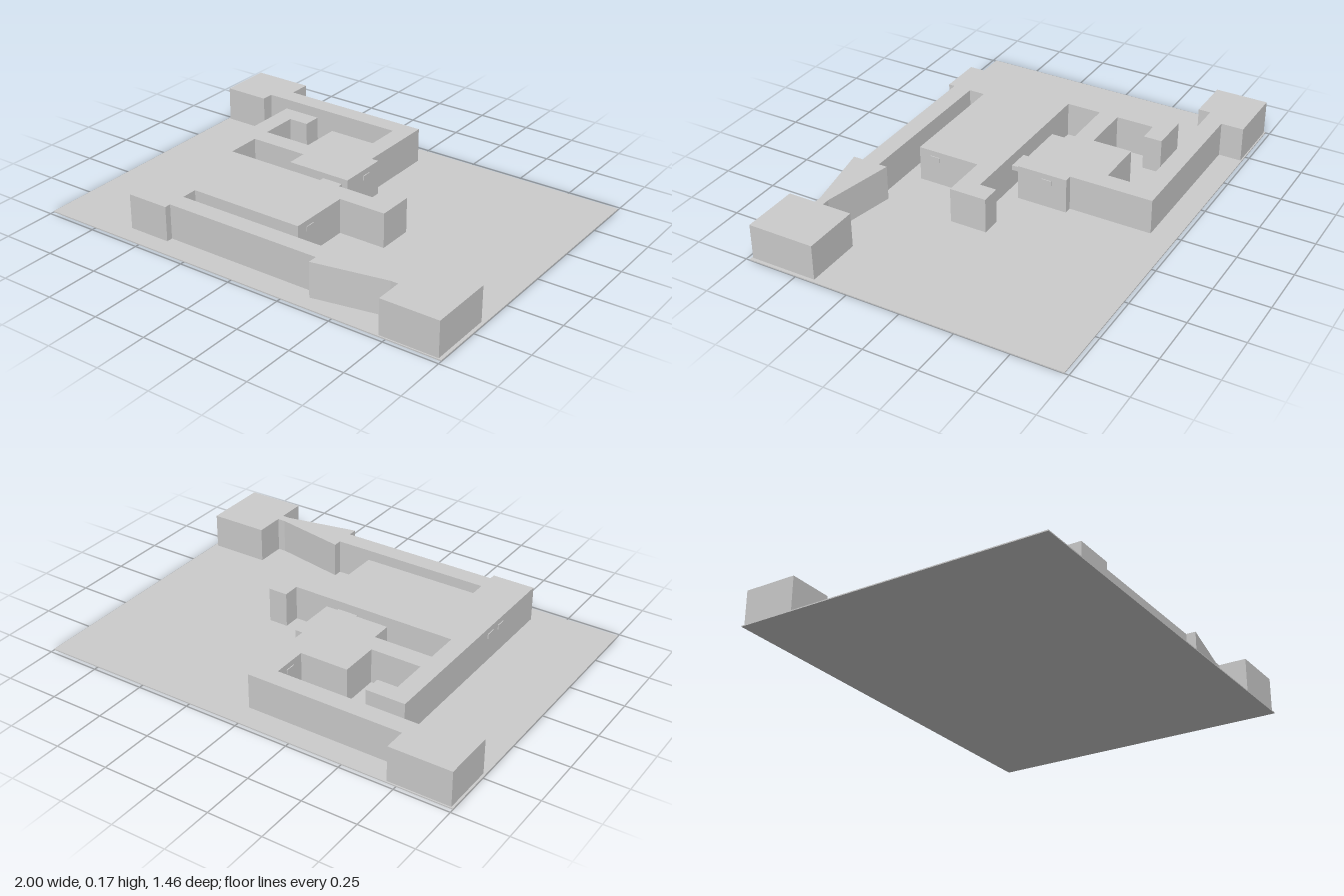
import * as THREE from 'three';

export function createModel() {
  const group = new THREE.Group();
  const material = new THREE.MeshStandardMaterial({ color: 0xcccccc, flatShading: true });

  const addBox = (name, size, position) => {
    const mesh = new THREE.Mesh(new THREE.BoxGeometry(...size), material);
    mesh.position.set(...position);
    mesh.name = name;
    group.add(mesh);
  };

  // Thin ground plate
  addBox('groundPlate', [2, 0.005, 1.462], [0, 0.0025, 0]);

  // Floor plan of the connected blocks and corridors, as [x, z]
  const plan = [
    // rear corner block and rear corridor
    [-0.99, -0.725], [-0.705, -0.725], [-0.705, -0.62], [0.025, -0.62],
    [0.025, -0.235], [0.06, -0.235], [0.06, 0.002],
    // middle passage
    [-0.25, 0.002], [-0.25, -0.095], [-0.527, -0.095], [-0.527, 0.067],
    // side wing and main hall
    [0.267, 0.067], [0.267, -0.012], [0.358, -0.012], [0.358, 0.16],
    [0.134, 0.16], [0.134, 0.455],
    // front corridor, flared link and front corner block
    [-0.415, 0.455], [-0.415, 0.53], [0.342, 0.53], [0.342, 0.49],
    [0.68, 0.555], [0.716, 0.555], [0.716, 0.417], [0.985, 0.417],
    [0.985, 0.725], [0.716, 0.725], [0.716, 0.595], [0.68, 0.595],
    [0.342, 0.66], [0.342, 0.615], [-0.415, 0.615], [-0.415, 0.645],
    // long outer wall and courtyard
    [-0.615, 0.645], [-0.615, -0.45], [-0.432, -0.45], [-0.432, -0.363],
    [-0.527, -0.363], [-0.527, -0.185], [-0.29, -0.185], [-0.29, -0.37],
    [-0.063, -0.37], [-0.063, -0.535], [-0.775, -0.535], [-0.775, -0.478],
    [-0.99, -0.478],
  ];
  const shape = new THREE.Shape(plan.map(([x, z]) => new THREE.Vector2(x, -z)));
  const geometry = new THREE.ExtrudeGeometry(shape, { depth: 0.165, bevelEnabled: false });
  geometry.rotateX(-Math.PI / 2);
  const building = new THREE.Mesh(geometry, material);
  building.position.y = 0.003;
  building.name = 'connectedBuilding';
  group.add(building);

  // Small window blocks set into the side walls, as [wall x, z]
  const windows = [[0.06, -0.14], [0.134, 0.375], [-0.615, 0.25], [-0.615, 0.34], [-0.063, -0.45]];
  for (const [x, z] of windows) addBox('window', [0.008, 0.023, 0.047], [x, 0.13, z]);

  // Ledge in the middle passage
  addBox('passageLedge', [0.1, 0.023, 0.047], [-0.02, 0.13, 0.024]);

  return group;
}
